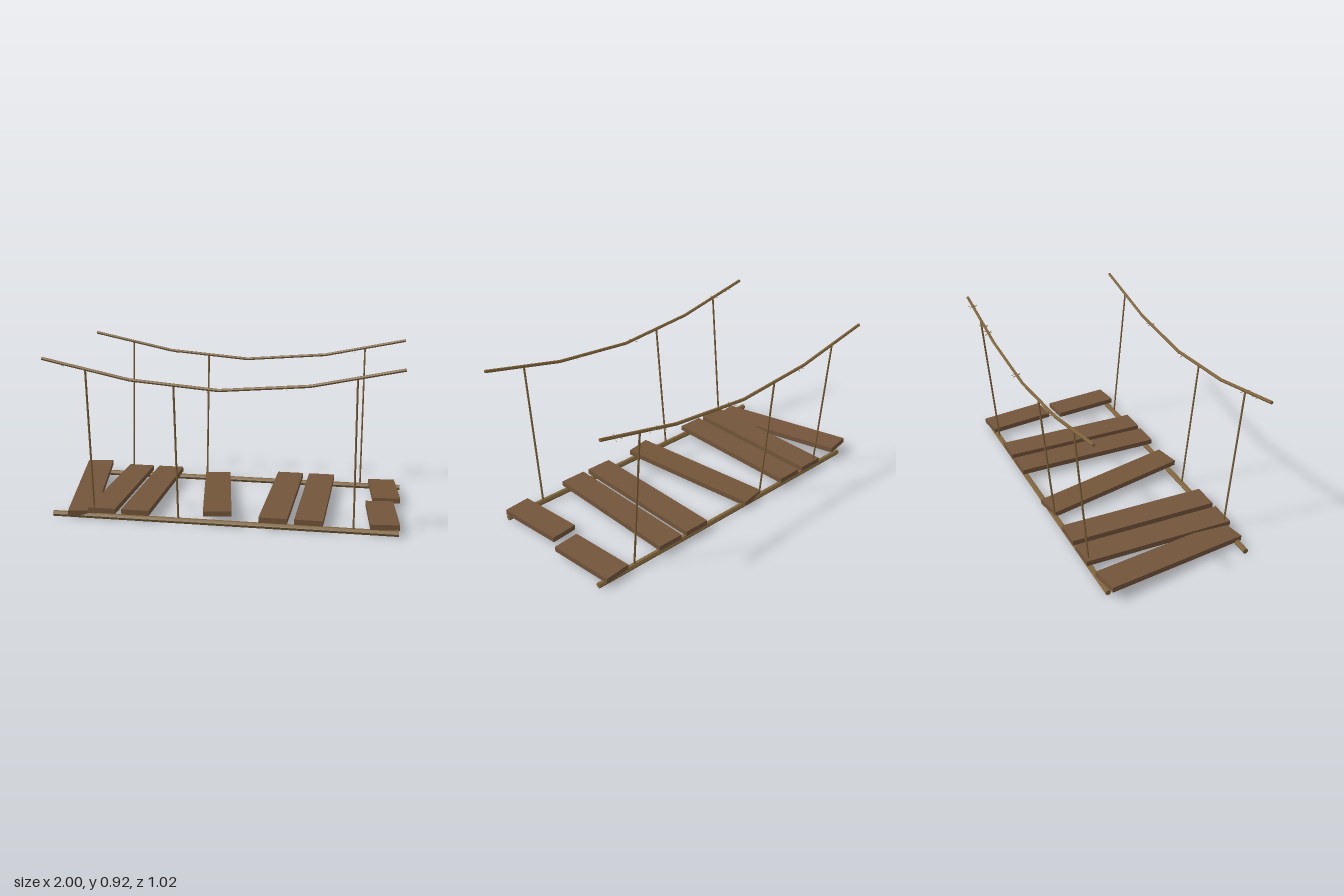
import * as THREE from 'three';

const mat = (name, color) => {
  const m = new THREE.MeshStandardMaterial({ color, flatShading: true });
  m.name = name;
  return m;
};

export function createModel() {
  const wood = mat('plank wood', 0x73553a);
  const rope = mat('rope', 0x80643a);
  const fibre = mat('frayed fibre', 0x86764c);
  const bridge = new THREE.Group();
  bridge.name = 'ropeBridge';
  const up = new THREE.Vector3(0, 1, 0);

  // Straight piece of rope between two points
  const strand = (name, a, b, radius, sides, material) => {
    const from = new THREE.Vector3(...a), dir = new THREE.Vector3(...b).sub(from);
    const mesh = new THREE.Mesh(new THREE.CylinderGeometry(radius, radius, dir.length(), sides), material);
    mesh.position.copy(from).addScaledVector(dir, 0.5);
    mesh.quaternion.setFromUnitVectors(up, dir.normalize());
    mesh.name = name;
    bridge.add(mesh);
  };

  // Sagging hand rope line
  const line = [[-0.94, 0.917], [-0.455, 0.816], [0.027, 0.776], [0.51, 0.816], [0.992, 0.917]];
  const ropeY = (x) => {
    let i = 0;
    while (i < 3 && x > line[i + 1][0]) i++;
    const [x0, y0] = line[i], [x1, y1] = line[i + 1];
    return y0 + (y1 - y0) * (x - x0) / (x1 - x0);
  };

  for (const s of [-1, 1]) {
    const side = s < 0 ? 'back' : 'front';
    const zTop = s * 0.485, zBase = s * 0.41;
    strand(side + 'BaseRope', [-0.94, 0.0145, zBase], [0.992, 0.0145, zBase], 0.0165, 6, rope);
    for (let i = 0; i < 4; i++) {
      strand(side + 'HandRope', [...line[i], zTop], [...line[i + 1], zTop], 0.009, 6, rope);
    }
    // Hanger ropes, one missing on each side
    for (const x of [-0.698, -0.215, 0.75]) {
      strand(side + 'Hanger', [x, 0.015, zBase], [x, ropeY(x), zTop], 0.0058, 6, rope);
    }
    // Loose fibres sticking out of the hand rope
    const tufts = s < 0 ? [-0.42, 0.12, 0.61, 0.68, 0.89] : [-0.82, -0.71, -0.03, 0.38];
    tufts.forEach((x, i) => {
      for (let k = 0; k < 2; k++) {
        const dx = 0.012 * (k ? -1 : 1), dy = 0.006 * ((i + k) % 3 - 1);
        const px = x + k * 0.012, py = ropeY(px) - 0.004;
        strand('frayedFibre', [px - dx, py - dy, zTop - 0.024], [px + dx, py + dy, zTop + 0.024], 0.0018, 4, fibre);
      }
    });
  }

  // Planks: x, y, z, length, turn, tilt
  const planks = [
    [-0.845, 0.053, 0, 0.865, 0.18, 0.052],
    [-0.65, 0.054, 0, 0.87, 0, 0],
    [-0.457, 0.054, 0, 0.87, 0, 0],
    [-0.07, 0.053, 0, 0.865, 0.18, -0.042],
    [0.315, 0.054, 0, 0.87, 0, 0],
    [0.51, 0.054, 0, 0.87, 0, 0],
    [0.898, 0.044, -0.234, 0.395, 0.1, -0.02],
    [0.898, 0.051, 0.228, 0.4, 0.1, 0],
  ];
  for (const [x, y, z, length, turn, tilt] of planks) {
    const plank = new THREE.Mesh(new THREE.BoxGeometry(0.157, 0.03, length), wood);
    plank.position.set(x, y, z);
    plank.rotation.set(tilt, turn, 0, 'YXZ');
    plank.name = length < 0.5 ? 'brokenPlank' : 'plank';
    bridge.add(plank);
  }
  return bridge;
}
